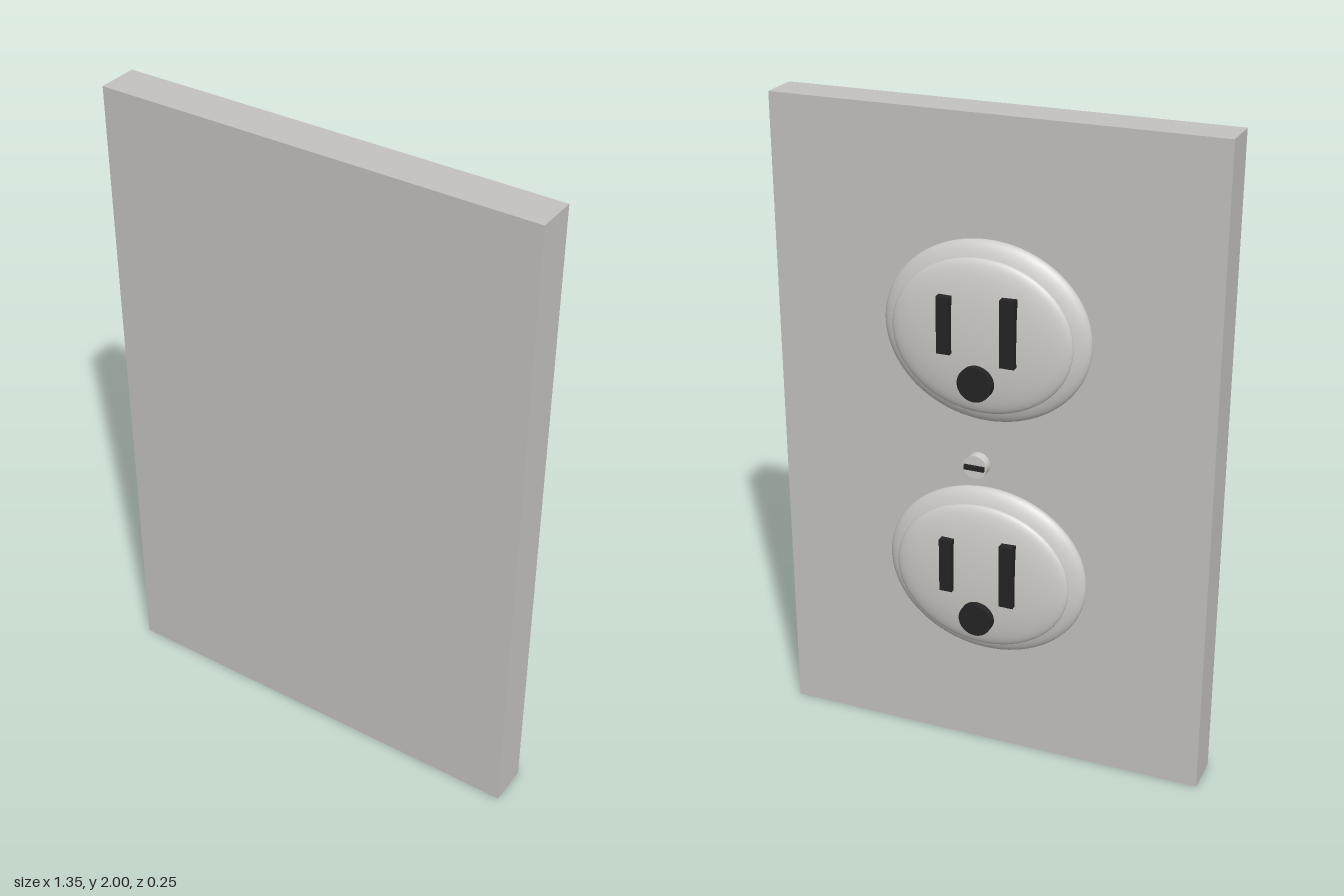
import * as THREE from 'three';

const paint = (name, color) => {
  const m = new THREE.MeshStandardMaterial({ color });
  m.name = name;
  return m;
};

export function createModel() {
  const model = new THREE.Group();
  model.name = 'wallOutlet';
  const plateGrey = paint('plate grey', 0xc4c2be);
  const faceGrey = paint('face grey', 0xcfcdc9);
  const black = paint('slot black', 0x242424);

  const add = (parent, name, geometry, material, x, y, z) => {
    const mesh = new THREE.Mesh(geometry, material);
    mesh.name = name;
    mesh.position.set(x, y, z);
    parent.add(mesh);
    return mesh;
  };
  // Squashed sphere, given its three radii
  const dome = (rx, ry, rz) => new THREE.SphereGeometry(1, 64, 48).scale(rx, ry, rz);
  // Round disc with its axis along z
  const disc = (r, depth) => new THREE.CylinderGeometry(r, r, depth, 32).rotateX(Math.PI / 2);

  // Wall plate; the sockets sit on its -z side
  add(model, 'wallPlate', new THREE.BoxGeometry(1.35, 2, 0.125), plateGrey, 0, 1, 0.0625);

  // Two identical sockets
  for (const [name, y] of [['upperSocket', 1.383], ['lowerSocket', 0.622]]) {
    const socket = new THREE.Group();
    socket.name = name;
    socket.position.y = y;
    add(socket, 'socketRim', dome(0.315, 0.272, 0.06), faceGrey, 0, 0, -0.022);
    add(socket, 'socketFace', dome(0.274, 0.231, 0.04), faceGrey, 0, 0, -0.064);
    add(socket, 'shortSlot', new THREE.BoxGeometry(0.04, 0.17, 0.03), black, 0.096, 0.037, -0.102);
    add(socket, 'longSlot', new THREE.BoxGeometry(0.044, 0.2, 0.03), black, -0.097, 0.037, -0.102);
    add(socket, 'groundHole', disc(0.052, 0.04), black, 0, -0.125, -0.102);
    model.add(socket);
  }

  // Centre screw with its driver slot
  add(model, 'screwHead', disc(0.036, 0.03), faceGrey, 0, 1, -0.101);
  add(model, 'screwSlot', new THREE.BoxGeometry(0.062, 0.014, 0.02), black, 0, 1, -0.115);

  return model;
}
